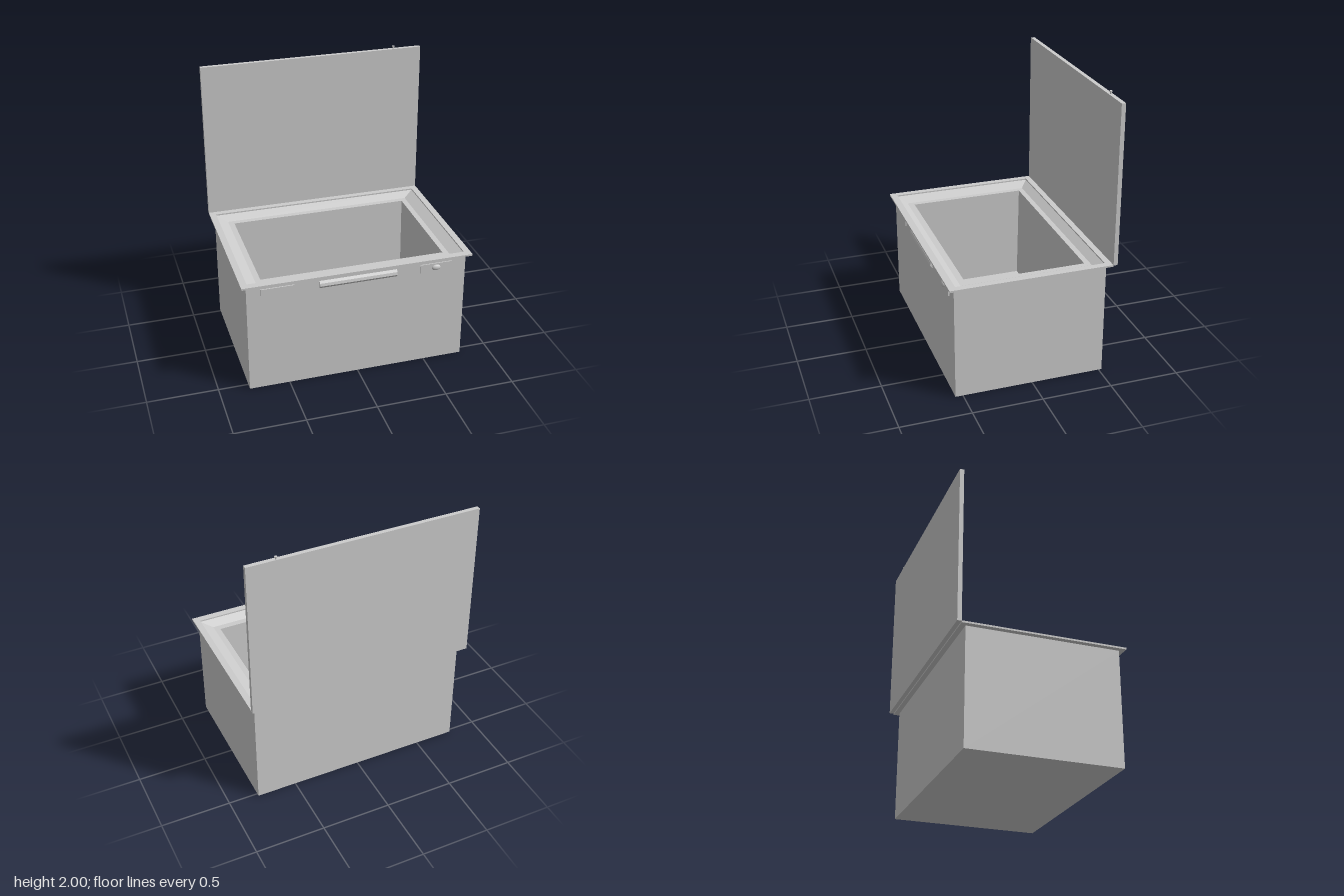
import * as THREE from 'three';

const material = new THREE.MeshStandardMaterial({ color: 0xcccccc });

function add(parent, name, geometry, x = 0, y = 0, z = 0) {
  const mesh = new THREE.Mesh(geometry, material);
  mesh.name = name;
  mesh.position.set(x, y, z);
  parent.add(mesh);
  return mesh;
}

// Closed shell through stacked rectangles [halfWidth, zBack, zFront, y], with flat faces
function rectangleLoft(sections) {
  const rings = sections.map(([w, back, front, y]) => [
    [w, y, front], [w, y, back], [-w, y, back], [-w, y, front],
  ]);
  const positions = [];
  const quad = (a, b, c, d) => positions.push(...a, ...b, ...c, ...a, ...c, ...d);
  for (let r = 0; r < rings.length - 1; r++) {
    for (let i = 0; i < 4; i++) {
      const j = (i + 1) % 4;
      quad(rings[r][i], rings[r][j], rings[r + 1][j], rings[r + 1][i]);
    }
  }
  const [p, q, s, t] = rings[0];
  quad(t, s, q, p);
  quad(...rings[rings.length - 1]);
  const geometry = new THREE.BufferGeometry();
  geometry.setAttribute('position', new THREE.Float32BufferAttribute(positions, 3));
  geometry.computeVertexNormals();
  return geometry;
}

export function createModel() {
  const model = new THREE.Group();
  model.name = 'chestCooler';
  const bodyFront = 0.553;

  // Body, rim flange, sloped seat and inner tub as one shell
  add(model, 'body', rectangleLoft([
    [0.787, -0.522, bodyFront, 0],
    [0.787, -0.522, bodyFront, 0.825],
    [0.823, -0.558, 0.59, 0.825],
    [0.823, -0.558, 0.59, 0.838],
    [0.777, -0.515, 0.54, 0.838],
    [0.777, -0.515, 0.54, 0.828],
    [0.70, -0.455, 0.48, 0.795],
    [0.66, -0.415, 0.435, 0.795],
    [0.66, -0.404, 0.42, 0.08],
  ]));

  // Lid standing open along the back edge
  add(model, 'lid', new THREE.BoxGeometry(1.646, 1.146, 0.03), 0, 1.407, -0.574);

  // Small catch pin on the lid's free edge
  const catchPin = new THREE.Group();
  catchPin.name = 'catchPin';
  catchPin.position.set(0.617, 1.98, -0.576);
  add(catchPin, 'pinStem', new THREE.CylinderGeometry(0.006, 0.006, 0.014, 16), 0, 0.006, 0);
  add(catchPin, 'pinHead', new THREE.CylinderGeometry(0.01, 0.01, 0.008, 16), 0, 0.016, 0);
  model.add(catchPin);

  // Thin plates on either side of the front
  for (const [name, x] of [['rightPlate', -0.572], ['latchPlate', 0.567]]) {
    add(model, name, new THREE.BoxGeometry(0.235, 0.065, 0.01), x, 0.758, bodyFront + 0.003);
  }

  // Wedge-shaped handle: side profile (z, y) extruded across x
  const profile = new THREE.Shape([
    [0, 0.73], [0.02, 0.752], [0.015, 0.772], [0, 0.787],
  ].map(([z, y]) => new THREE.Vector2(-z, y)));
  const handle = new THREE.ExtrudeGeometry(profile, { depth: 0.555, bevelEnabled: false });
  handle.rotateY(Math.PI / 2);
  add(model, 'handle', handle, -0.2775, 0, bodyFront);

  // Oval latch knob
  const knob = add(model, 'latchKnob', new THREE.SphereGeometry(1, 32, 16), 0.565, 0.758, bodyFront + 0.006);
  knob.scale.set(0.033, 0.022, 0.016);

  return model;
}
